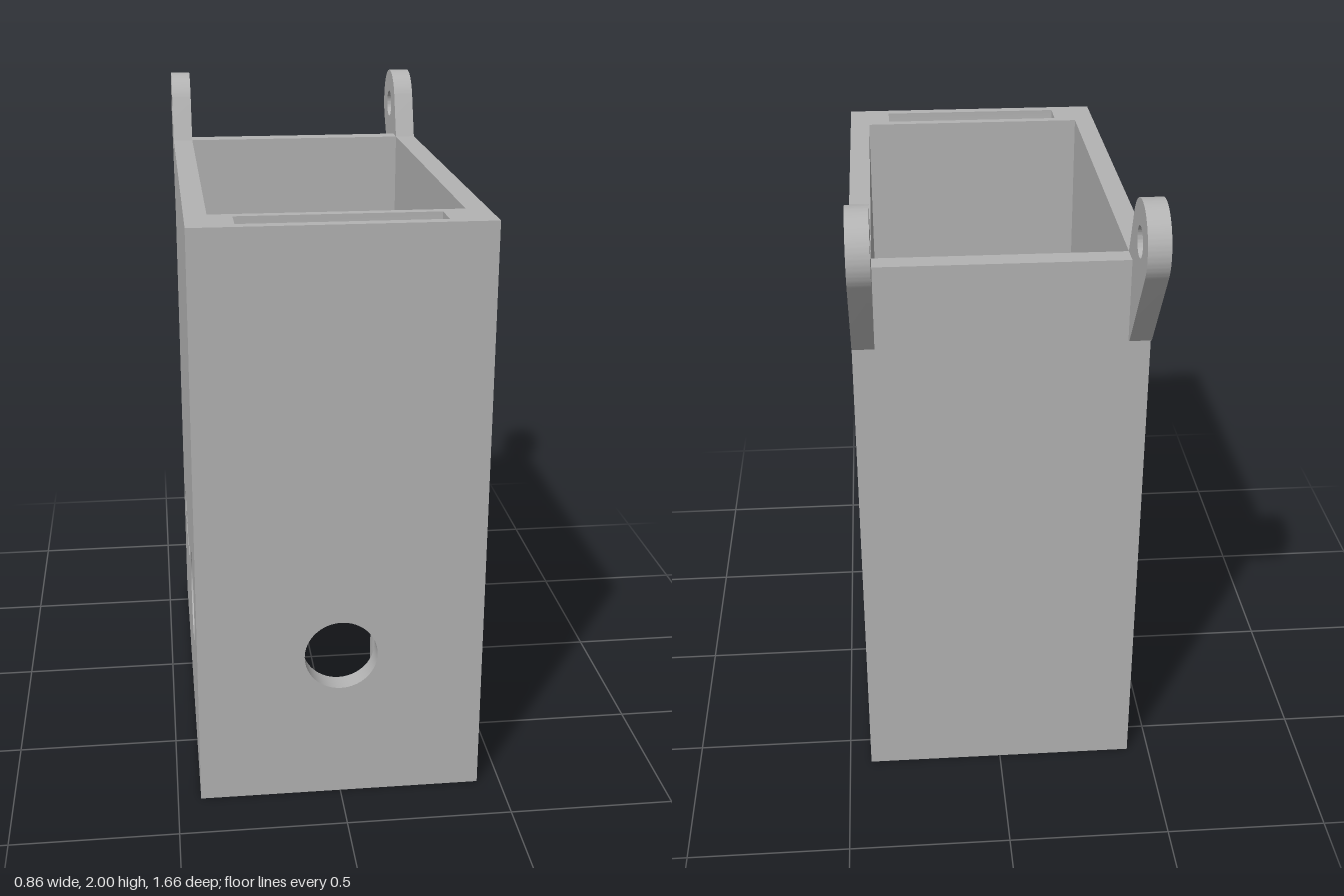
import * as THREE from 'three';
import { toCreasedNormals } from 'three/addons/utils/BufferGeometryUtils.js';

const W = 0.43, T = 0.065;            // half width, wall thickness
const BACK = -0.61, FRONT = 0.83, TOP = 1.785;
const DECK = 0.78;                    // underside of the floor between the two bays

const circle = (u, v, r) => new THREE.Path().absarc(u, v, r, 0, Math.PI * 2, true);

const polygon = (pts) => new THREE.Shape(pts.map(([u, v]) => new THREE.Vector2(u, v)));

function extrude(shape, depth) {
  const g = new THREE.ExtrudeGeometry(shape, { depth, bevelEnabled: false, curveSegments: 32 });
  return toCreasedNormals(g, 0.5);
}

// Extrude a (z, y) profile across x, from x0 to x1
function extrudeX(shape, x0, x1) {
  return extrude(shape, x1 - x0).rotateY(-Math.PI / 2).translate(x1, 0, 0);
}

// Side wall outline with its hinge ear at the top of the back
function sideShape() {
  const s = new THREE.Shape();
  s.moveTo(BACK, 0);
  s.lineTo(FRONT, 0);
  s.lineTo(FRONT, TOP);
  s.lineTo(-0.545, TOP);
  s.absarc(-0.71, 1.88, 0.12, 0.35, Math.PI + 0.6, false);
  s.lineTo(-0.625, 1.54);
  s.lineTo(BACK, 1.535);
  s.closePath();
  s.holes.push(circle(-0.71, 1.88, 0.045));
  return s;
}

export function createModel() {
  const model = new THREE.Group();
  const grey = new THREE.MeshStandardMaterial({ color: 0xb3b3b3 });
  grey.name = 'grey plastic';

  const add = (name, geometry) => {
    const mesh = new THREE.Mesh(geometry, grey);
    mesh.name = name;
    model.add(mesh);
    return mesh;
  };
  const box = (name, x0, x1, y0, y1, z0, z1) =>
    add(name, new THREE.BoxGeometry(x1 - x0, y1 - y0, z1 - z0)
      .translate((x0 + x1) / 2, (y0 + y1) / 2, (z0 + z1) / 2));

  // Right wall: one large port and three small ones
  const right = sideShape();
  right.holes.push(circle(0.43, 0.49, 0.145));
  for (const z of [0.025, -0.137, -0.3]) right.holes.push(circle(z, 0.49, 0.052));
  add('rightWall', extrudeX(right, -W, -W + T));

  // Left wall: rectangular window
  const left = sideShape();
  left.holes.push(polygon([[-0.23, 0.315], [-0.23, 0.675], [0.46, 0.675], [0.46, 0.315]]));
  add('leftWall', extrudeX(left, W - T, W));

  // Back wall and floor of the upper bay
  const inner = W - T;
  box('backWall', -inner, inner, 0, TOP, BACK, BACK + T);
  box('bayFloor', -inner, inner, DECK, DECK + 0.06, BACK + T, FRONT - T);

  // Thin lower front wall with a round port
  const front = polygon([[-inner, 0], [inner, 0], [inner, DECK], [-inner, DECK]]);
  front.holes.push(circle(0, 0.47, 0.11));
  add('lowerFrontWall', extrude(front, T).translate(0, 0, FRONT - T));

  // Thick upper front wall with a round-bottomed slot in its top
  const slotX = 0.295, z0 = 0.67, r = 0.0475, zc = 0.7475, yc = TOP - 0.03;
  const grooved = new THREE.Shape();
  grooved.moveTo(z0, DECK);
  grooved.lineTo(FRONT, DECK);
  grooved.lineTo(FRONT, TOP);
  grooved.lineTo(zc + r, TOP);
  grooved.absarc(zc, yc, r, 0, -Math.PI, true);
  grooved.lineTo(zc - r, TOP);
  grooved.lineTo(z0, TOP);
  grooved.closePath();
  add('slottedFrontWall', extrudeX(grooved, -slotX, slotX));
  box('slotEndRight', -inner, -slotX, DECK, TOP, z0, FRONT);
  box('slotEndLeft', slotX, inner, DECK, TOP, z0, FRONT);

  // Four screw posts with blind holes in the lower bay
  const profile = [[0, 0.4], [0.047, 0.4], [0.047, 0], [0.108, 0], [0.108, DECK]]
    .map(([x, y]) => new THREE.Vector2(x, y));
  const post = toCreasedNormals(new THREE.LatheGeometry(profile, 40), 0.5);
  for (const x of [-0.23, 0.23]) {
    for (const z of [-0.39, 0.61]) add('screwPost', post).position.set(x, 0, z);
  }

  return model;
}
